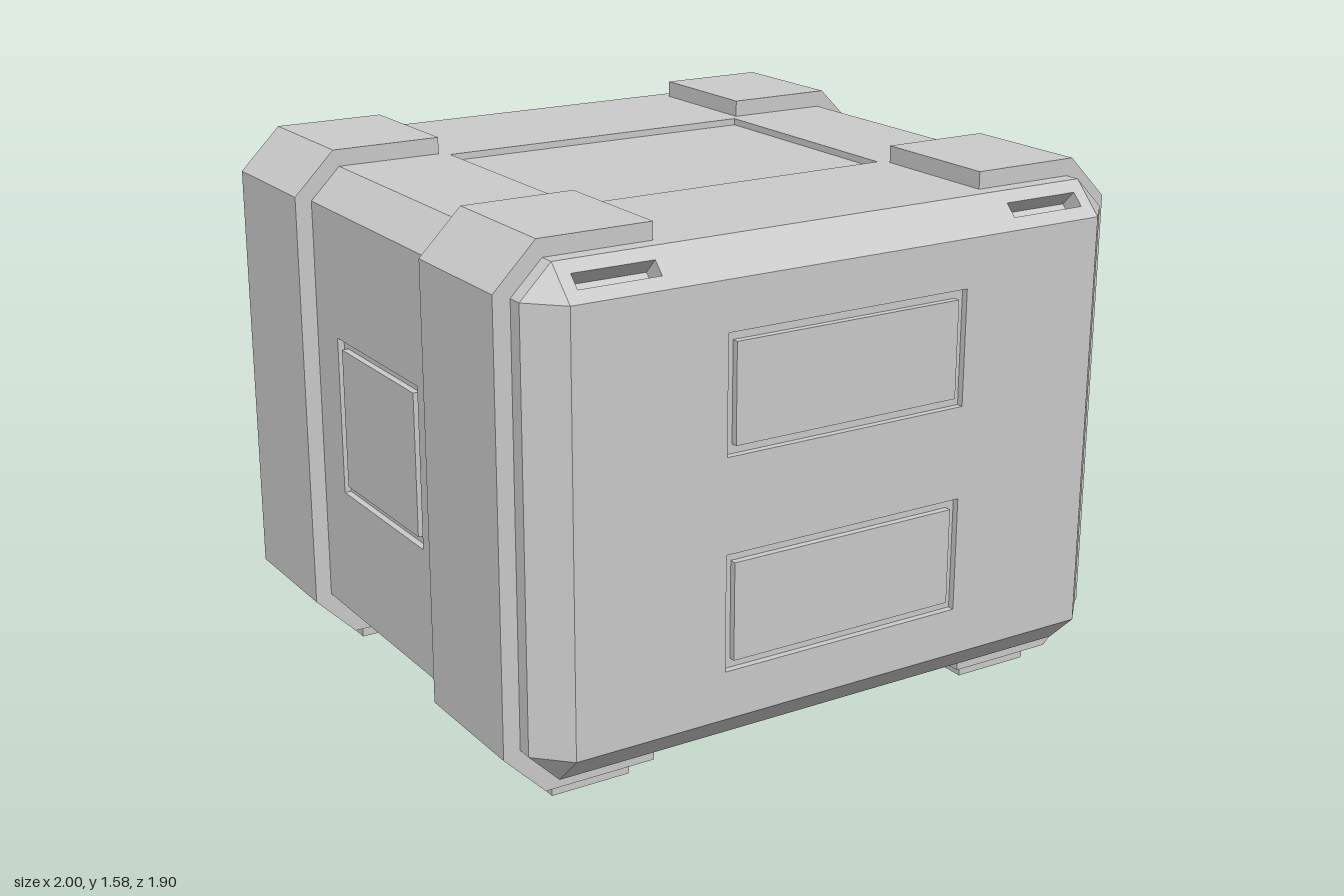
import * as THREE from 'three';

const grey = new THREE.MeshStandardMaterial({ color: 0xcccccc, flatShading: true });
const HALF = [0.95, 0.7125, 0.95]; // body half sizes
const MID = 0.8125; // height of the body centre
const C = 0.092; // chamfer size

function mesh(geometry, name) {
  const m = new THREE.Mesh(geometry, grey);
  m.name = name;
  return m;
}

function rect(Type, w, h, x = 0, y = 0) {
  return new Type([[-1, -1], [1, -1], [1, 1], [-1, 1]]
    .map(([a, b]) => new THREE.Vector2(x + a * w / 2, y + b * h / 2)));
}

// Flat plate facing +z with sunken pockets; a rim leaves a flush island inside a pocket
function plate(name, w, h, depth, pockets = []) {
  const g = new THREE.Group();
  g.name = name;
  const solid = (shape) => new THREE.ExtrudeGeometry(shape, { depth, bevelEnabled: false }).translate(0, 0, -depth);
  const face = rect(THREE.Shape, w, h);
  for (const p of pockets) {
    face.holes.push(rect(THREE.Path, p.w, p.h, p.x, p.y));
    g.add(mesh(new THREE.PlaneGeometry(p.w, p.h).translate(p.x || 0, p.y || 0, -depth), 'pocketFloor'));
    if (p.rim) g.add(mesh(solid(rect(THREE.Shape, p.w - 2 * p.rim, p.h - 2 * p.rim, p.x, p.y)), 'insetPanel'));
  }
  g.add(mesh(solid(face), 'plate'));
  return g;
}

// Turns an object so its +z follows n and its +x follows u
function orient(object, u, n, position) {
  const v = n.clone().cross(u);
  object.quaternion.setFromRotationMatrix(new THREE.Matrix4().makeBasis(u, v, n));
  object.position.copy(position);
  return object;
}

const axis = (i, s = 1) => new THREE.Vector3().setComponent(i, s);

function createBody() {
  const body = new THREE.Group();
  body.name = 'body';
  body.position.y = MID;

  // Six faces: side, top and bottom, front and back
  const faces = [
    { name: 'sideFace', n: 0, u: 2, v: 1, pockets: [{ w: 0.525, h: 0.48, rim: 0.028 }] },
    { name: 'topBottomFace', n: 1, u: 0, v: 2, pockets: [{ w: 1.02, h: 0.755 }] },
    { name: 'frontBackFace', n: 2, u: 0, v: 1,
      pockets: [-0.308, 0.308].map((y) => ({ w: 0.785, h: 0.34, y, rim: 0.027 })) },
  ];
  for (const f of faces) for (const s of [-1, 1]) {
    const p = plate(f.name, 2 * (HALF[f.u] - C), 2 * (HALF[f.v] - C), 0.02, f.pockets);
    body.add(orient(p, axis(f.u), axis(f.n, s), axis(f.n, s * HALF[f.n])));
  }

  // Twelve chamfered edges; the upper front and back ones carry slots
  const slots = [-0.6975, 0.6975].map((x) => ({ w: 0.245, h: 0.048, x }));
  for (let a = 0; a < 3; a++) {
    const b = (a + 1) % 3, c = (a + 2) % 3;
    for (const sb of [-1, 1]) for (const sc of [-1, 1]) {
      const slotted = a === 0 && sb === 1;
      const p = plate(slotted ? 'slottedEdge' : 'edge', 2 * (HALF[a] - C), C * Math.SQRT2,
        slotted ? 0.06 : 0.02, slotted ? slots : []);
      const n = axis(b, sb).add(axis(c, sc)).normalize();
      const at = axis(b, sb * (HALF[b] - C / 2)).add(axis(c, sc * (HALF[c] - C / 2)));
      body.add(orient(p, axis(a), n, at));
    }
  }

  // Eight corner triangles
  for (const sx of [-1, 1]) for (const sy of [-1, 1]) for (const sz of [-1, 1]) {
    const s = [sx, sy, sz];
    const pts = [0, 1, 2].map((k) => new THREE.Vector3(...s.map((q, i) => q * (HALF[i] - (i === k ? 0 : C)))));
    if (sx * sy * sz < 0) pts.reverse();
    const g = new THREE.BufferGeometry().setFromPoints(pts);
    g.computeVertexNormals();
    body.add(mesh(g, 'corner'));
  }
  return body;
}

// Bracket wrapped around one side of the body
function bracketGeometry() {
  const outline = [
    [0.535, 1.575], [0.535, 1.5], [0.84, 1.5], [0.92, 1.42], [0.92, 0.2], [0.84, 0.12], [0.535, 0.12],
    [0.535, 0.05], [0.875, 0.05], [1, 0.175], [1, 1.45], [0.875, 1.575],
  ].map(([x, y]) => new THREE.Vector2(x, y));
  return new THREE.ExtrudeGeometry(new THREE.Shape(outline), { depth: 0.407, bevelEnabled: false })
    .translate(0, 0, -0.2035);
}

export function createModel() {
  const model = new THREE.Group();
  model.name = 'crate';
  model.add(createBody());

  // Four brackets with a foot below each
  const bracketShape = bracketGeometry();
  const footShape = new THREE.BoxGeometry(0.245, 0.06, 0.31);
  for (const sx of [-1, 1]) for (const sz of [-1, 1]) {
    const bracket = mesh(bracketShape, 'bracket');
    bracket.position.z = sz * 0.6085;
    if (sx < 0) bracket.rotation.y = Math.PI;
    const foot = mesh(footShape, 'foot');
    foot.position.set(sx * 0.7075, 0.03, sz * 0.6085);
    model.add(bracket, foot);
  }
  return model;
}
